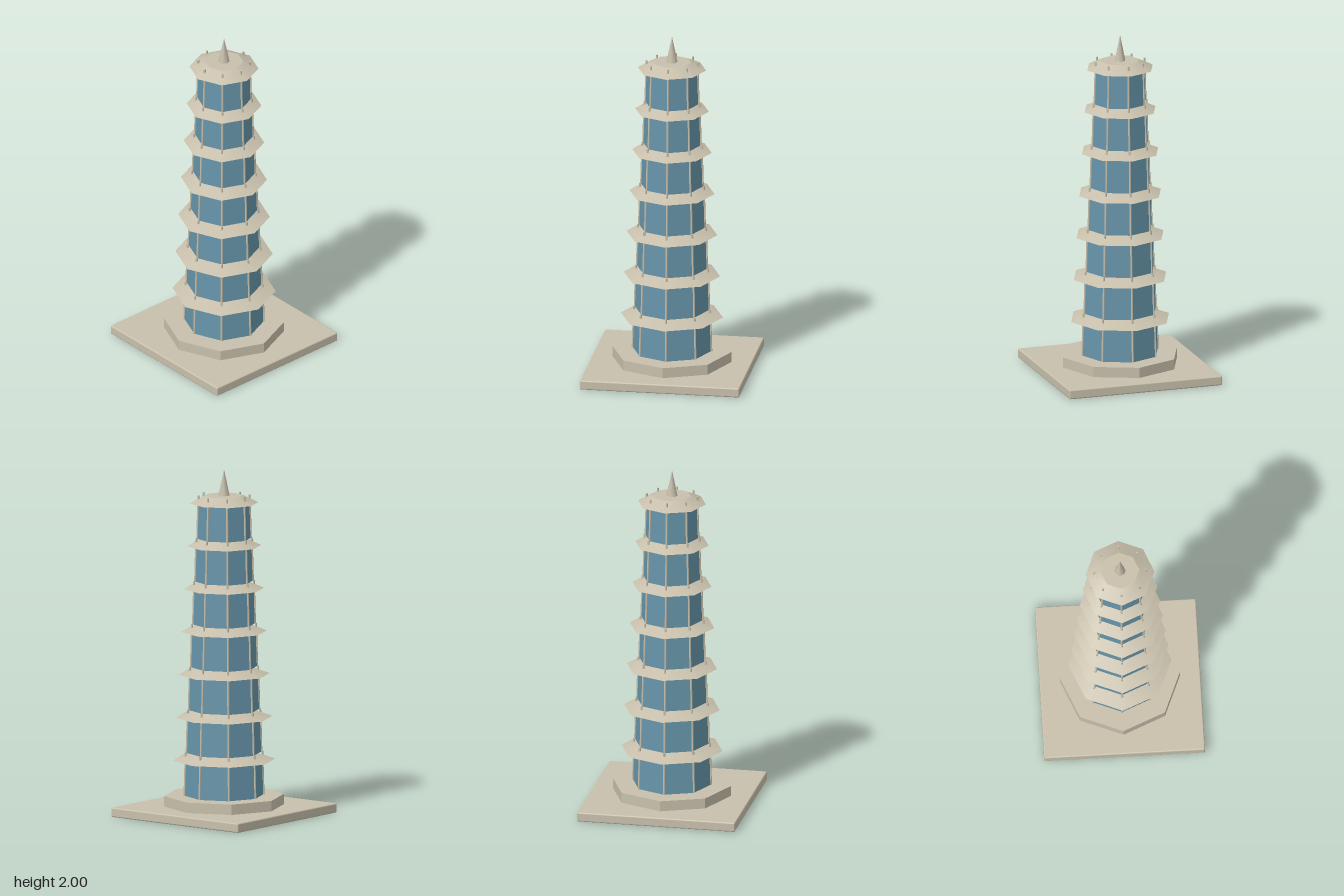
import * as THREE from 'three';
import { RoundedBoxGeometry } from 'three/addons/geometries/RoundedBoxGeometry.js';

export function createModel() {
  const stone = new THREE.MeshStandardMaterial({ color: 0xc8c0ac });
  stone.name = 'pale stone';
  const blue = new THREE.MeshStandardMaterial({ color: 0x6795aa, flatShading: true });
  blue.name = 'blue wall';
  const cutStone = new THREE.MeshStandardMaterial({ color: 0xc8c0ac, flatShading: true });
  cutStone.name = 'cut stone';

  const tower = new THREE.Group();
  tower.name = 'pagoda';

  function add(parent, name, geometry, material, y = 0) {
    const mesh = new THREE.Mesh(geometry, material);
    mesh.name = name;
    mesh.position.y = y;
    parent.add(mesh);
    return mesh;
  }

  // Eight-sided frustum standing on y, with corners on the x and z axes
  function octagon(parent, name, bottom, top, height, y, material) {
    return add(parent, name, new THREE.CylinderGeometry(top, bottom, height, 8), material, y + height / 2);
  }

  // Ground slab and plinth
  add(tower, 'baseSlab', new RoundedBoxGeometry(0.92, 0.055, 0.92, 2, 0.008), stone, 0.0275);
  octagon(tower, 'plinth', 0.344, 0.344, 0.06, 0.055, cutStone);

  // Leaning corner column
  const up = new THREE.Vector3(0, 1, 0);
  function column(parent, angle, r0, r1, height) {
    const dir = new THREE.Vector3(Math.sin(angle), 0, Math.cos(angle));
    const a = dir.clone().multiplyScalar(r0);
    const b = dir.clone().multiplyScalar(r1).setY(height);
    const axis = b.clone().sub(a);
    const mesh = add(parent, 'cornerColumn', new THREE.CylinderGeometry(0.006, 0.006, axis.length(), 8), stone);
    mesh.position.copy(a).add(b).multiplyScalar(0.5);
    mesh.quaternion.setFromUnitVectors(up, axis.normalize());
  }

  // Seven storeys, each narrower than the one below
  for (let i = 0; i < 7; i++) {
    const storey = new THREE.Group();
    storey.name = 'storey' + (i + 1);
    storey.position.y = 0.115 + i * 0.2475;
    tower.add(storey);

    const r = 0.227 - i * 0.0122;
    const eave = 0.295 - i * 0.0163;
    octagon(storey, 'wall', r, r - 0.007, 0.22, 0, blue);
    octagon(storey, 'roof', eave, eave * 0.56, 0.043, 0.205, stone);
    for (let k = 0; k < 8; k++) column(storey, k * Math.PI / 4, r, r - 0.007, 0.25);
  }

  // Finial
  add(tower, 'spire', new THREE.ConeGeometry(0.032, 0.152, 8), stone, 1.924);

  return tower;
}
